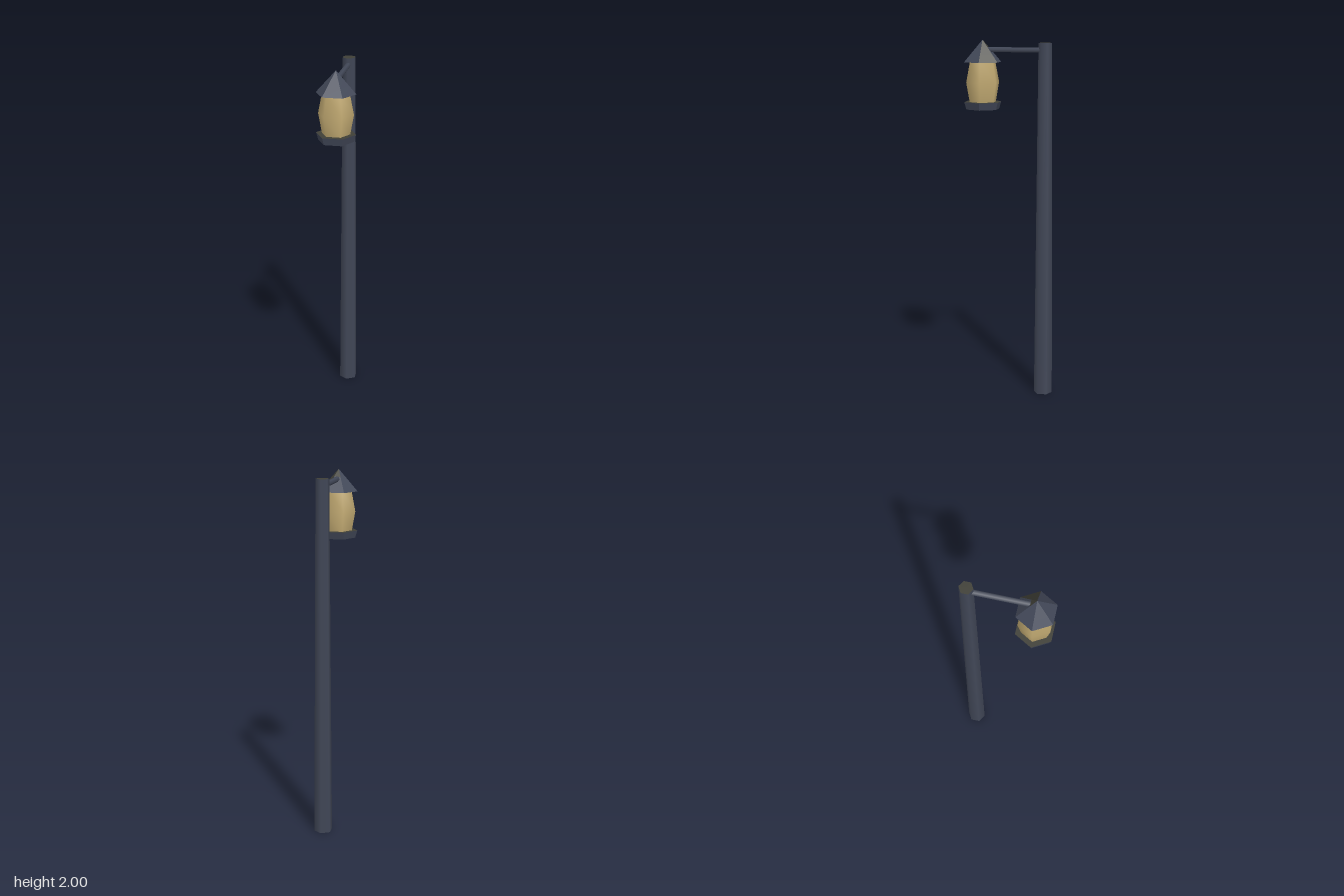
import * as THREE from 'three';

const iron = new THREE.MeshStandardMaterial({ color: 0x414757 });
iron.name = 'blue grey iron';
const worn = new THREE.MeshStandardMaterial({ color: 0x3f3f37 });
worn.name = 'olive worn iron';
const amber = new THREE.MeshStandardMaterial({ color: 0xc2aa72 });
amber.name = 'amber glass';

const POLE_Z = -0.193, LAMP_Z = 0.151, SIDES = 6;

// Gives each face its own normal, for hard edges
function faceted(geometry) {
  const g = geometry.toNonIndexed();
  g.computeVertexNormals();
  return g;
}

export function createModel() {
  const model = new THREE.Group();
  model.name = 'streetLamp';

  function add(name, geometry, material, y, z) {
    const mesh = new THREE.Mesh(geometry, material);
    mesh.name = name;
    mesh.position.set(0, y, z);
    model.add(mesh);
    return mesh;
  }

  // Tapered six-sided pole: side, top cap, bottom cap
  const height = 1.985;
  add('pole', new THREE.CylinderGeometry(0.037, 0.052, height, SIDES),
    [iron, worn, iron], height / 2, POLE_Z);

  // Horizontal arm from the pole into the roof
  const armLength = LAMP_Z - POLE_Z - 0.01;
  const armGeometry = new THREE.CylinderGeometry(0.015, 0.015, armLength, SIDES, 1, false, Math.PI / 2);
  armGeometry.rotateX(Math.PI / 2);
  add('arm', armGeometry, iron, 1.947, (LAMP_Z + POLE_Z) / 2 - 0.005);

  // Pointed roof: the first side and the tip of the next are worn
  const roofGeometry = faceted(
    new THREE.CylinderGeometry(0, 0.107, 0.12, SIDES, 3, true, Math.PI / 2));
  roofGeometry.clearGroups();
  roofGeometry.addGroup(0, 18, 0);
  roofGeometry.addGroup(18, roofGeometry.attributes.position.count - 18, 1);
  add('roof', roofGeometry, [worn, iron], 1.94, LAMP_Z);

  const underside = new THREE.CircleGeometry(0.107, SIDES);
  underside.rotateX(Math.PI / 2);
  add('roofUnderside', underside, worn, 1.88, LAMP_Z);

  // Barrel-shaped glass
  const profile = [[0.075, 1.66], [0.095, 1.77], [0.073, 1.882]]
    .map(([r, y]) => new THREE.Vector2(r, y));
  add('glass', new THREE.LatheGeometry(profile, SIDES, Math.PI / 2), amber, 0, LAMP_Z);

  // Tray under the glass: side, top cap, bottom cap
  add('tray', faceted(new THREE.CylinderGeometry(0.107, 0.095, 0.04, SIDES, 1, false, Math.PI / 2)),
    [iron, worn, iron], 1.644, LAMP_Z);

  return model;
}
